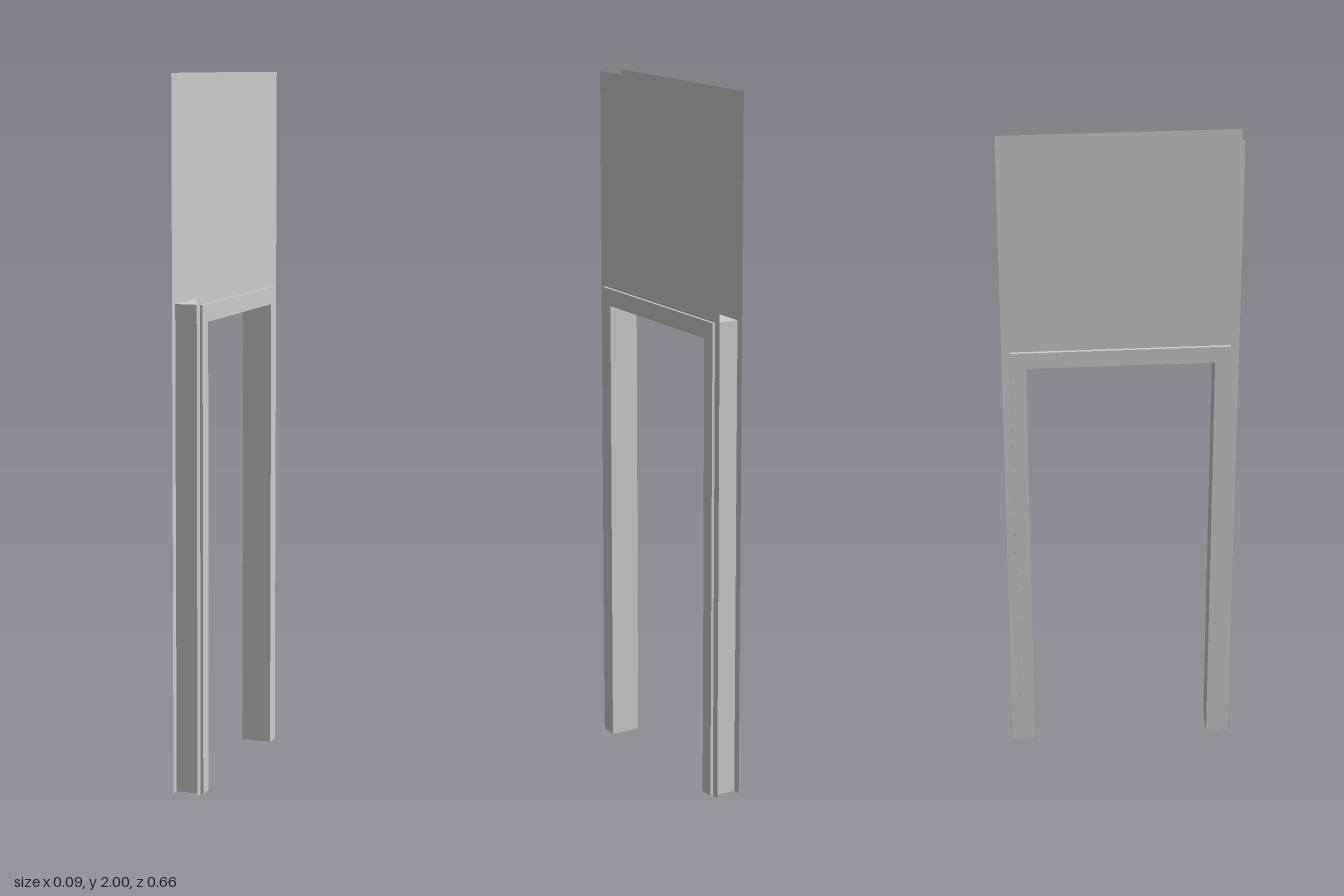
import * as THREE from 'three';

const material = new THREE.MeshStandardMaterial({
  color: 0xcccccc, flatShading: true, side: THREE.DoubleSide,
});

const TOP = 2, WALL_Z = 0.33, WALL_X = 0.036;          // wall skins
const OUT_Z = 0.306, OUT_Y = 1.375, FRAME_X = 0.044;   // outside of the door frame
const IN_Z = 0.263, IN_Y = 1.325;                      // clear opening

// Upside-down U in the z-y plane, as a flat sheet at the given x
function archSheet(name, x, outZ, outY, inZ, inY) {
  const shape = new THREE.Shape([
    [-outZ, 0], [-outZ, outY], [outZ, outY], [outZ, 0],
    [inZ, 0], [inZ, inY], [-inZ, inY], [-inZ, 0],
  ].map(([z, y]) => new THREE.Vector2(z, y)));
  const mesh = new THREE.Mesh(new THREE.ShapeGeometry(shape), material);
  mesh.name = name;
  mesh.rotation.y = Math.PI / 2;
  mesh.position.x = x;
  return mesh;
}

// Upright strips and a level strip lining an arch across the frame's depth
function archLining(name, halfZ, height) {
  const group = new THREE.Group();
  group.name = name;
  for (const side of [-1, 1]) {
    const jamb = new THREE.Mesh(new THREE.PlaneGeometry(2 * FRAME_X, height), material);
    jamb.name = side > 0 ? 'frontJamb' : 'backJamb';
    jamb.position.set(0, height / 2, side * halfZ);
    group.add(jamb);
  }
  const head = new THREE.Mesh(new THREE.PlaneGeometry(2 * FRAME_X, 2 * halfZ), material);
  head.name = 'head';
  head.rotation.x = -Math.PI / 2;
  head.position.y = height;
  group.add(head);
  return group;
}

export function createModel() {
  const model = new THREE.Group();
  model.name = 'doorwayWall';

  // Thin wall skins and the slightly proud frame faces, one pair per side
  for (const side of [-1, 1]) {
    const label = side > 0 ? 'left' : 'right';
    model.add(archSheet(label + 'WallSkin', side * WALL_X, WALL_Z, TOP, OUT_Z, OUT_Y));
    model.add(archSheet(label + 'FrameFace', side * FRAME_X, OUT_Z, OUT_Y, IN_Z, IN_Y));
  }

  // Hollow frame: outer shell and inner reveal, open at the floor
  model.add(archLining('frameOuterShell', OUT_Z, OUT_Y));
  model.add(archLining('frameInnerReveal', IN_Z, IN_Y));
  return model;
}
